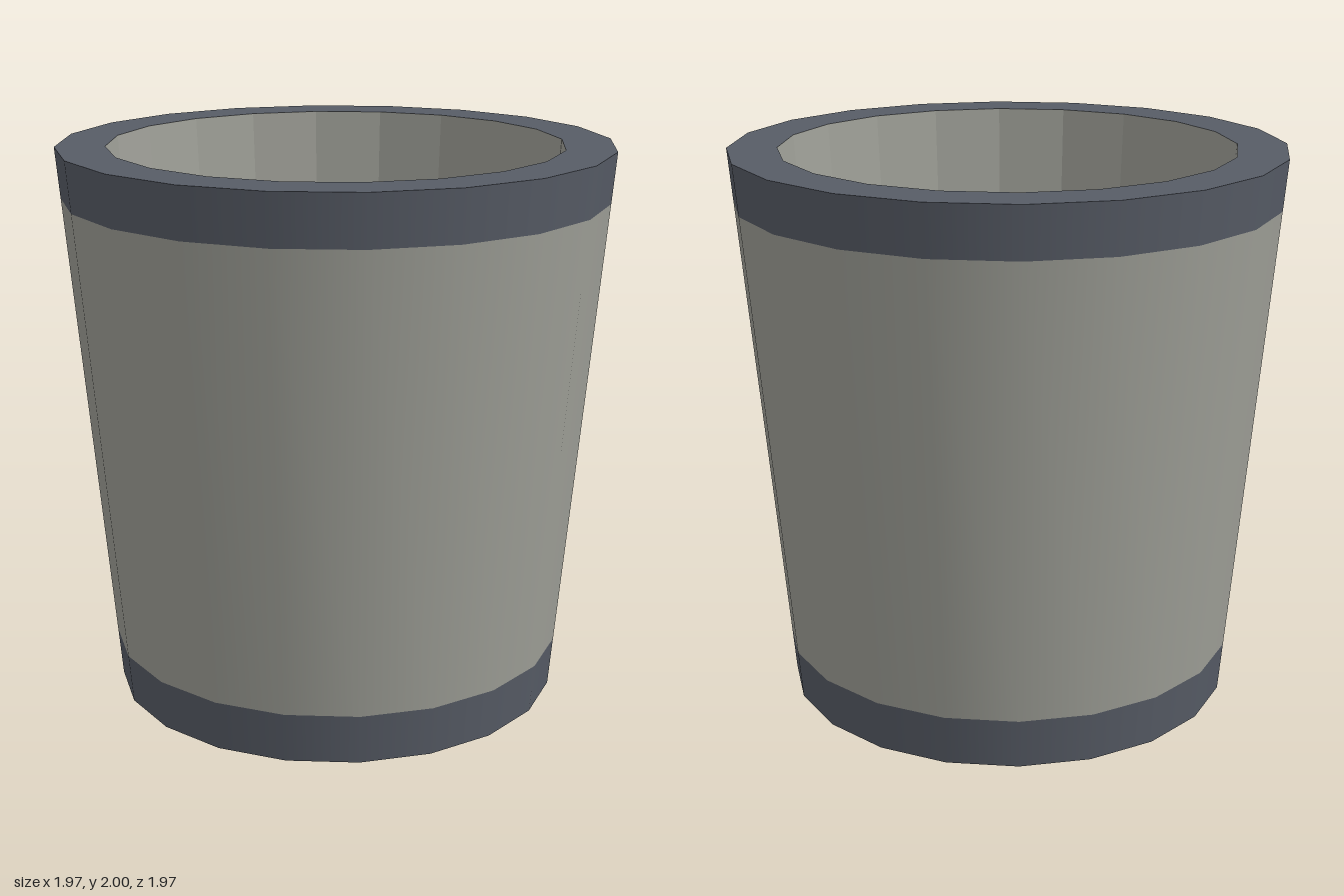
import * as THREE from 'three';

const SIDES = 20;
const BASE_R = 0.81, TOP_R = 0.985, INNER_TOP_R = 0.808, INNER_BASE_R = 0.69;
const HEIGHT = 2, BAND = 0.18, FLOOR_Y = 0.2;

// outer radius of the tapered wall at a given height
const outerR = (y) => BASE_R + (TOP_R - BASE_R) * y / HEIGHT;

// tapered wall: a rising profile faces outward, a falling one faces inward
function wall(r0, y0, r1, y1) {
  return new THREE.LatheGeometry([new THREE.Vector2(r0, y0), new THREE.Vector2(r1, y1)], SIDES);
}

export function createModel() {
  const slate = new THREE.MeshStandardMaterial({ color: 0x575c66 });
  slate.name = 'slate';
  const stone = new THREE.MeshStandardMaterial({ color: 0x9fa098 });
  stone.name = 'stone';

  const group = new THREE.Group();
  group.name = 'cup';
  const add = (name, geometry, material) => {
    const mesh = new THREE.Mesh(geometry, material);
    mesh.name = name;
    group.add(mesh);
  };
  const outer = (y0, y1) => wall(outerR(y0), y0, outerR(y1), y1);

  // outside: dark bands above and below a pale body
  add('bottomBand', outer(0, BAND), slate);
  add('outerBody', outer(BAND, HEIGHT - BAND), stone);
  add('topBand', outer(HEIGHT - BAND, HEIGHT), slate);

  // flat rim
  add('rim', new THREE.RingGeometry(INNER_TOP_R, TOP_R, SIDES)
    .rotateX(-Math.PI / 2).translate(0, HEIGHT, 0), slate);

  // faceted inside wall and its floor
  const inside = wall(INNER_TOP_R, HEIGHT, INNER_BASE_R, FLOOR_Y).toNonIndexed();
  inside.computeVertexNormals();
  add('innerWall', inside, stone);
  add('innerFloor', new THREE.CircleGeometry(INNER_BASE_R, SIDES)
    .rotateX(-Math.PI / 2).translate(0, FLOOR_Y, 0), slate);

  // underside
  add('underside', new THREE.CircleGeometry(BASE_R, SIDES).rotateX(Math.PI / 2), slate);

  return group;
}
